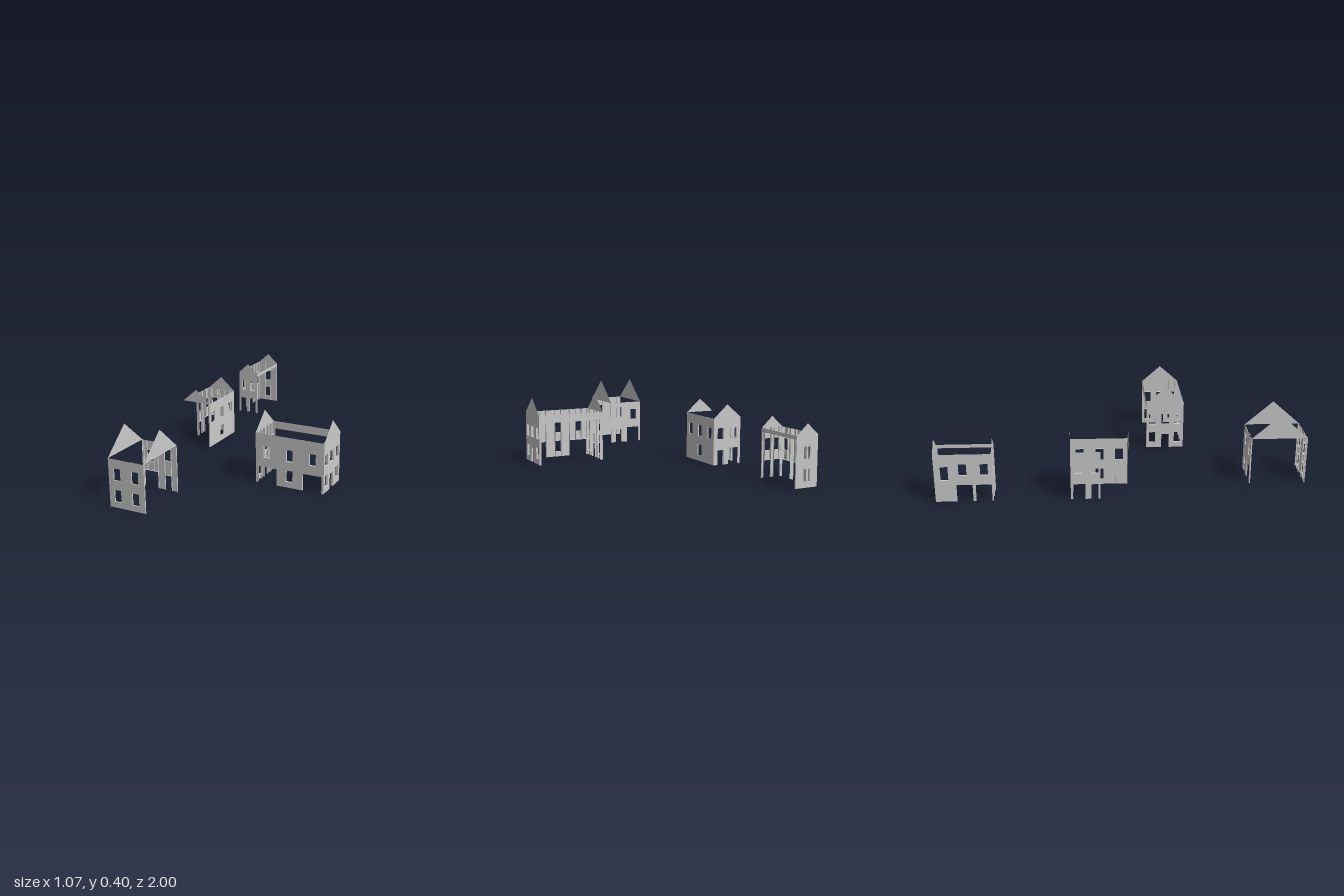
import * as THREE from 'three';
import { mergeGeometries } from 'three/addons/utils/BufferGeometryUtils.js';

const material = new THREE.MeshStandardMaterial({ color: 0xcccccc, side: THREE.DoubleSide, flatShading: true });

// Standard heights: upper window, lower window, wide door, narrow door
const UP = [0.148, 0.213], LOW = [0.032, 0.097], DOOR = [0, 0.095], SMALL = [0, 0.085];
const holes = (spans, [y0, y1]) => spans.map(([a, b]) => [a, b, y0, y1]);

// Flat strip between two points of the wall plane, running inward by depth
function reveal(u0, y0, u1, y1, depth) {
  const g = new THREE.PlaneGeometry(1, 1);
  const p = g.attributes.position;
  for (let i = 0; i < 4; i++) {
    const end = i % 2;
    p.setXYZ(i, end ? u1 : u0, end ? y1 : y0, i < 2 ? 0 : depth);
  }
  g.computeVertexNormals();
  return g;
}

// Wall skin along x or z, with optional gable, openings and inward reveals.
// depth is signed along +z for x walls and along -x for z walls.
function wall(name, axis, at, from, to, { base = 0, top, peak, open = [], depth = 0 }) {
  const s = new THREE.Shape();
  s.moveTo(from, base);
  const doors = open.filter(o => o[2] === 0).sort((p, q) => p[0] - q[0]);
  for (const [a, b, , y] of doors) {
    s.lineTo(a, 0); s.lineTo(a, y); s.lineTo(b, y); s.lineTo(b, 0);
  }
  s.lineTo(to, base);
  if (top > base) s.lineTo(to, top);
  if (peak) s.lineTo((from + to) / 2, peak);
  if (top > base) s.lineTo(from, top);
  s.closePath();
  for (const [a, b, y0, y1] of open.filter(o => o[2] > 0)) {
    const h = new THREE.Path();
    h.moveTo(a, y0); h.lineTo(a, y1); h.lineTo(b, y1); h.lineTo(b, y0); h.closePath();
    s.holes.push(h);
  }
  const parts = [new THREE.ShapeGeometry(s)];

  if (depth) {
    // Heads and sills
    for (const [a, b, y0, y1] of open) {
      parts.push(reveal(a, y1, b, y1, depth));
      if (y0 > 0) parts.push(reveal(a, y0, b, y0, depth));
    }
    // Upright ribs at the jambs and wall ends
    const lines = new Set([from, to, ...open.flatMap(o => [o[0], o[1]])]);
    for (const u of lines) {
      const over = open.filter(o => o[0] < u - 1e-4 && o[1] > u + 1e-4);
      const bottom = Math.max(base, ...over.map(o => o[3]));
      parts.push(reveal(u, bottom, u, top, depth));
    }
  }
  const mesh = new THREE.Mesh(mergeGeometries(parts), material);
  mesh.name = name;
  if (axis === 'x') mesh.position.z = at;
  else { mesh.rotation.y = -Math.PI / 2; mesh.position.x = at; }
  return mesh;
}

function house(name, ...walls) {
  const g = new THREE.Group();
  g.name = name;
  g.add(...walls);
  return g;
}

export function createModel() {
  const model = new THREE.Group();
  model.name = 'houseShells';

  // Wide house: long front, two gable ends, open back with a top band
  const ends = [[0.175, 0.213], [0.25, 0.295], [0.325, 0.363]];
  const end = {
    top: 0.283, peak: 0.38,
    open: [...holes(ends, UP), ...holes([ends[0], ends[2]], LOW), ...holes([ends[1]], SMALL)],
  };
  model.add(house('wideHouse',
    wall('frontWall', 'x', 0.38, 0.133, 0.53, {
      top: 0.283, depth: -0.012,
      open: [
        ...holes([[0.18, 0.217], [0.312, 0.35], [0.445, 0.483]], UP),
        ...holes([[0.312, 0.35]], LOW),
        ...holes([[0.141, 0.257], [0.408, 0.522]], DOOR),
      ],
    }),
    wall('leftGableWall', 'z', 0.53, 0.16, 0.38, { ...end, depth: 0.012 }),
    wall('rightGableWall', 'z', 0.133, 0.16, 0.38, { ...end, depth: -0.012 }),
    wall('backBand', 'x', 0.16, 0.133, 0.53, { base: 0.24, top: 0.283 })));

  // Front house: front and back walls with free gable triangles
  const cols = [[-0.352, -0.312], [-0.245, -0.205]];
  const triangle = { base: 0.262, top: 0.262, peak: 0.398 };
  model.add(house('frontHouse',
    wall('frontWall', 'x', 1, -0.382, -0.17, {
      top: 0.262, depth: -0.007, open: [...holes(cols, UP), ...holes(cols, LOW)],
    }),
    wall('backWall', 'x', 0.69, -0.382, -0.17, {
      top: 0.262, depth: 0.007,
      open: [
        ...holes([cols[0]], UP), ...holes([cols[1]], [0.168, 0.232]),
        ...holes([[-0.372, -0.287]], DOOR), ...holes([cols[1]], SMALL),
      ],
    }),
    wall('leftGable', 'z', -0.17, 0.69, 1, triangle),
    wall('rightGable', 'z', -0.382, 0.69, 1, triangle)));

  // Middle house: full side wall, gabled back, short side wall, front triangle
  const side = [[-0.26, -0.218], [-0.153, -0.11], [-0.046, -0.004]];
  model.add(house('middleHouse',
    wall('leftWall', 'z', -0.357, -0.288, 0.02, {
      top: 0.27, depth: 0.007, open: [...holes(side, UP), ...holes([side[1]], LOW)],
    }),
    wall('backGableWall', 'x', -0.288, -0.535, -0.357, {
      top: 0.27, peak: 0.348, depth: 0.012,
      open: [
        ...holes([[-0.51, -0.47], [-0.423, -0.383]], UP),
        ...holes([[-0.527, -0.455]], DOOR), ...holes([[-0.423, -0.383]], SMALL),
      ],
    }),
    wall('rightWall', 'z', -0.535, -0.288, -0.13, {
      top: 0.27, depth: -0.012,
      open: [
        ...holes([[-0.267, -0.23], [-0.178, -0.141]], UP),
        ...holes([[-0.28, -0.21]], DOOR), ...holes([[-0.178, -0.141]], SMALL),
      ],
    }),
    wall('frontGable', 'x', 0.02, -0.535, -0.357, { base: 0.27, top: 0.27, peak: 0.348 })));

  // Rear house: narrow gable ends, long side wall, open side with a top band
  model.add(house('rearHouse',
    wall('frontGableWall', 'x', -0.695, -0.535, -0.402, {
      top: 0.27, peak: 0.33, depth: -0.007,
      open: [
        ...holes([[-0.51, -0.48], [-0.456, -0.42]], UP),
        ...holes([[-0.527, -0.479], [-0.46, -0.415]], DOOR),
      ],
    }),
    wall('backGableWall', 'x', -1, -0.535, -0.402, {
      top: 0.27, peak: 0.33, depth: 0.007,
      open: [...holes([[-0.488, -0.45]], UP), ...holes([[-0.488, -0.45]], LOW)],
    }),
    wall('rightWall', 'z', -0.535, -1, -0.695, {
      top: 0.27, depth: -0.012,
      open: [
        ...holes([[-0.76, -0.718], [-0.873, -0.83]], UP),
        ...holes([[-0.968, -0.926]], [0.12, 0.2]),
        ...holes([[-0.787, -0.702], [-0.888, -0.802]], DOOR),
      ],
    }),
    wall('leftBand', 'z', -0.402, -1, -0.695, { base: 0.25, top: 0.27 })));

  return model;
}
